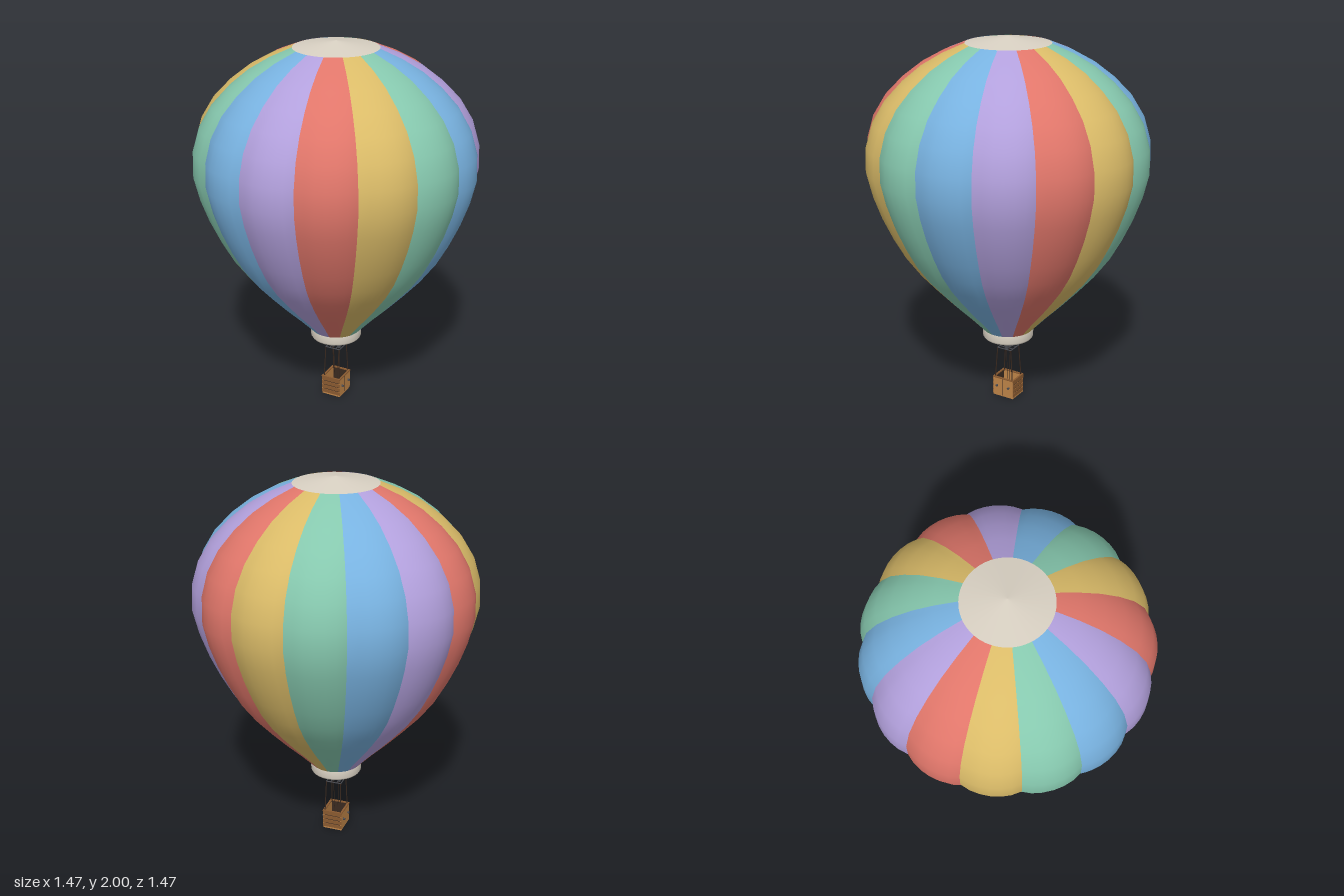
import * as THREE from 'three';

const mat = (name, color, side = THREE.FrontSide) => {
  const m = new THREE.MeshStandardMaterial({ color, side });
  m.name = name;
  return m;
};

export function createModel() {
  const group = new THREE.Group();
  const D = THREE.DoubleSide;
  const gores = [
    mat('lavender', 0xb2a0dc, D), mat('coral', 0xe0766a, D), mat('mustard', 0xdabb68, D),
    mat('mint', 0x86c8ae, D), mat('skyBlue', 0x78b2e0, D),
  ];
  const canvas = mat('canvas', 0xd8d0c2, D);
  const wicker = mat('wicker', 0xbf8448);
  const plankBrown = mat('plankBrown', 0x8a5a30);
  const dark = mat('darkBrown', 0x3a2a20);
  const steel = mat('steel', 0x4a4c52);

  const add = (name, geo, material, x = 0, y = 0, z = 0, parent = group) => {
    const mesh = new THREE.Mesh(geo, material);
    mesh.name = name;
    mesh.position.set(x, y, z);
    parent.add(mesh);
    return mesh;
  };
  const rod = (name, a, b, r, material, parent) => {
    const p = new THREE.Vector3(...a), q = new THREE.Vector3(...b);
    const dir = q.clone().sub(p);
    const mesh = add(name, new THREE.CylinderGeometry(r, r, dir.length(), 6), material, 0, 0, 0, parent);
    mesh.position.copy(p).add(q).multiplyScalar(0.5);
    mesh.quaternion.setFromUnitVectors(new THREE.Vector3(0, 1, 0), dir.normalize());
  };

  // Envelope: fifteen bulging gores swept along one profile
  const profile = new THREE.CatmullRomCurve3([
    [0.135, 0.405], [0.225, 0.5], [0.325, 0.6], [0.52, 0.82], [0.615, 0.98], [0.7, 1.18], [0.742, 1.36],
    [0.72, 1.53], [0.65, 1.67], [0.525, 1.8], [0.385, 1.895], [0.22, 1.966],
  ].map(([r, y]) => new THREE.Vector3(r, y, 0)));
  const COUNT = 15, ROWS = 16, COLS = 6;
  const rows = profile.getSpacedPoints(ROWS);
  const step = (Math.PI * 2) / COUNT;

  const goreGeometry = () => {
    const pos = [], idx = [];
    rows.forEach((p, j) => {
      const bulge = 0.035 * Math.pow(Math.sin((Math.PI * j) / ROWS), 0.6);
      for (let i = 0; i <= COLS; i++) {
        const t = i / COLS;
        const arch = Math.pow(Math.max(0, Math.sin(Math.PI * t)), 0.75);
        const r = p.x * (1 - bulge * (1 - arch));
        const a = (t - 0.5) * step;
        pos.push(r * Math.sin(a), p.y, r * Math.cos(a));
      }
    });
    for (let j = 0; j < ROWS; j++) {
      for (let i = 0; i < COLS; i++) {
        const a = j * (COLS + 1) + i, b = a + 1, c = a + COLS + 1, d = c + 1;
        idx.push(a, b, d, a, d, c);
      }
    }
    const g = new THREE.BufferGeometry();
    g.setAttribute('position', new THREE.Float32BufferAttribute(pos, 3));
    g.setIndex(idx);
    g.computeVertexNormals();
    return g;
  };
  const gore = goreGeometry();
  const envelope = new THREE.Group();
  envelope.name = 'envelope';
  group.add(envelope);
  for (let k = 0; k < COUNT; k++) {
    add('gore', gore, gores[k % 5], 0, 0, 0, envelope).rotation.y = k * step;
  }

  // Crown cap
  add('crownCap', new THREE.ConeGeometry(0.224, 0.036, 30, 1, true), canvas, 0, 1.982, 0);

  // Skirt ring at the mouth
  const skirt = [
    [0.112, 0.412], [0.112, 0.358], [0.132, 0.355], [0.138, 0.365], [0.138, 0.405], [0.132, 0.413], [0.112, 0.412],
  ].map(([r, y]) => new THREE.Vector2(r, y));
  add('skirt', new THREE.LatheGeometry(skirt, 30), canvas);

  // Burner frame, twin burners and suspension rods
  const rig = new THREE.Group();
  rig.name = 'burnerRig';
  group.add(rig);
  const FY = 0.287, FX = 0.042, FZ = 0.042;
  for (const s of [-1, 1]) {
    rod('frameBar', [-FX, FY, s * FZ], [FX, FY, s * FZ], 0.003, steel, rig);
    rod('frameBar', [s * FX, FY, -FZ], [s * FX, FY, FZ], 0.003, steel, rig);
    rod('burnerBar', [s * 0.018, FY, -FZ], [s * 0.018, FY, FZ], 0.0025, steel, rig);
    add('burner', new THREE.CylinderGeometry(0.012, 0.01, 0.03, 12), steel, s * 0.018, 0.292, 0, rig);
    rod('fuelHose', [s * 0.015, 0.28, 0], [s * 0.008, 0.04, 0], 0.0015, dark, rig);
    for (const t of [-1, 1]) {
      rod('suspensionRod', [s * FX, FY, t * FZ], [s * 0.046, 0.1, t * 0.055], 0.003, dark, rig);
    }
  }

  // Open basket: panelled sides, planked ends, dark trim
  const basket = new THREE.Group();
  basket.name = 'basket';
  group.add(basket);
  add('floor', new THREE.BoxGeometry(0.108, 0.01, 0.126), wicker, 0, 0.005, 0, basket);
  for (const s of [-1, 1]) {
    add('sidePanel', new THREE.BoxGeometry(0.008, 0.1, 0.126), wicker, s * 0.051, 0.058, 0, basket);
    add('sideSeam', new THREE.BoxGeometry(0.002, 0.1, 0.003), dark, s * 0.0555, 0.058, 0, basket);
    add('sideRim', new THREE.BoxGeometry(0.011, 0.006, 0.132), plankBrown, s * 0.051, 0.109, 0, basket);
    add('endPanel', new THREE.BoxGeometry(0.1, 0.1, 0.006), dark, 0, 0.058, s * 0.059, basket);
    for (let i = 0; i < 4; i++) {
      add('endPlank', new THREE.BoxGeometry(0.108, 0.02, 0.005), plankBrown, 0, 0.02 + i * 0.0255, s * 0.063, basket);
    }
    add('endRim', new THREE.BoxGeometry(0.112, 0.006, 0.01), plankBrown, 0, 0.109, s * 0.061, basket);
    for (const t of [-1, 1]) {
      const bolt = add('sideBolt', new THREE.CylinderGeometry(0.006, 0.006, 0.012, 8), steel, s * 0.06, 0.062, t * 0.037, basket);
      bolt.rotation.z = Math.PI / 2;
    }
  }
  return group;
}
